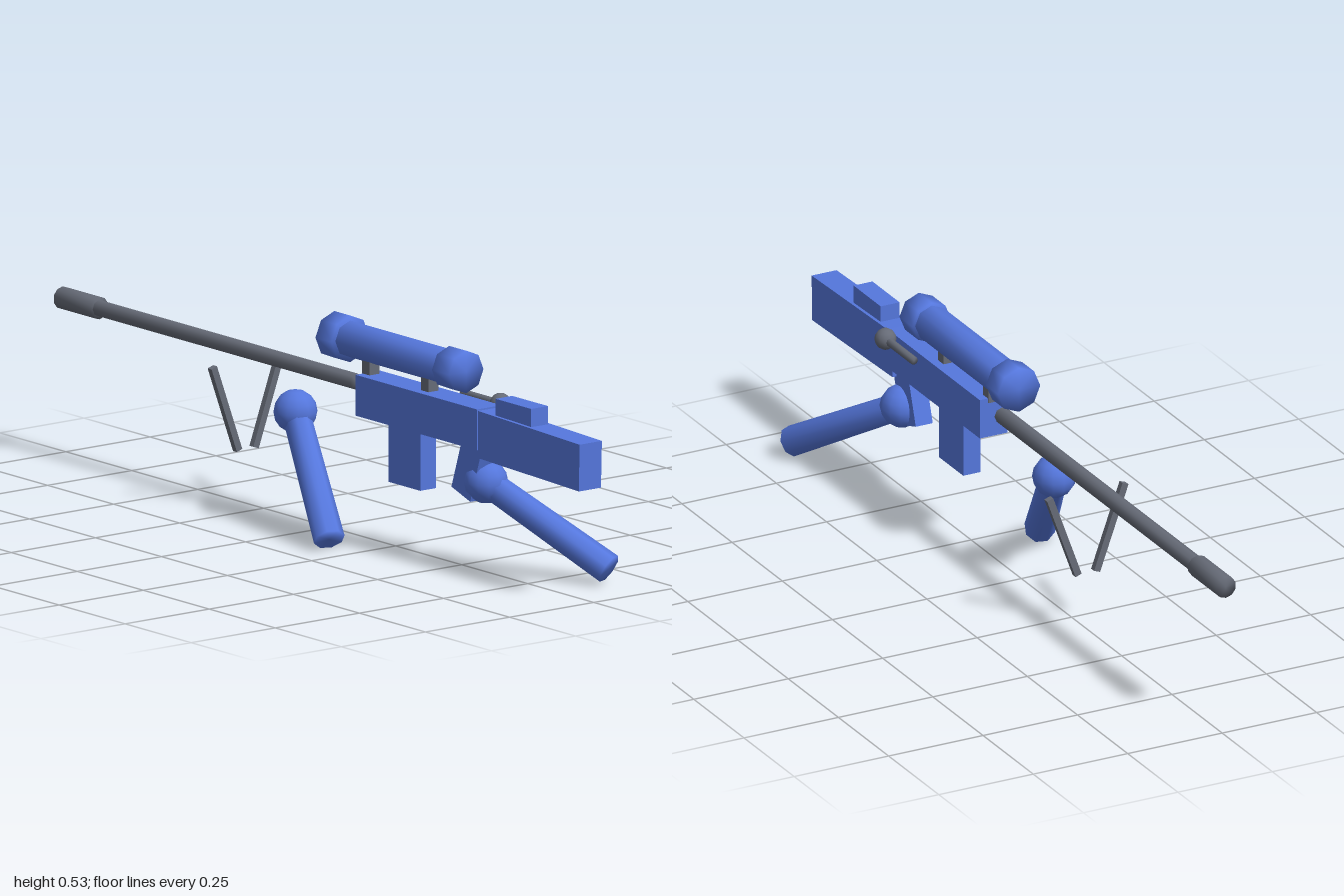
import * as THREE from 'three';
import { mergeVertices } from 'three/addons/utils/BufferGeometryUtils.js';

const blue = new THREE.MeshStandardMaterial({ color: 0x5577dd });
const steel = new THREE.MeshStandardMaterial({ color: 0x666b77 });
const CX = -0.01; // centre plane of the gun

export function createModel() {
  const model = new THREE.Group();

  function add(name, geometry, material, x, y, z) {
    const mesh = new THREE.Mesh(geometry, material);
    mesh.name = name;
    mesh.position.set(x, y, z);
    model.add(mesh);
    return mesh;
  }

  const box = (name, material, w, h, d, x, y, z) =>
    add(name, new THREE.BoxGeometry(w, h, d), material, x, y, z);

  const ball = (name, material, r, x, y, z) =>
    add(name, new THREE.SphereGeometry(r, 12, 8), material, x, y, z);

  // Cylinder with its normals smoothed over the rims
  function roundBar(r1, r2, length, sides) {
    const g = new THREE.CylinderGeometry(r2, r1, length, sides);
    g.deleteAttribute('uv');
    g.deleteAttribute('normal');
    const merged = mergeVertices(g);
    merged.computeVertexNormals();
    return merged;
  }

  // Cylinder lying along z between two depths
  function barrelPart(name, material, r, z1, z2, x, y, sides = 8) {
    const mesh = add(name, roundBar(r, r, Math.abs(z2 - z1), sides), material, x, y, (z1 + z2) / 2);
    mesh.rotation.x = Math.PI / 2;
  }

  // Ball hand with a forearm running from it to the elbow
  function arm(side, hand, elbow) {
    const a = new THREE.Vector3(...hand);
    const b = new THREE.Vector3(...elbow);
    ball(side + 'Hand', blue, 0.052, ...hand);
    const mid = a.clone().add(b).multiplyScalar(0.5);
    const mesh = add(side + 'Forearm', roundBar(0.033, 0.037, a.distanceTo(b), 8), blue, ...mid.toArray());
    mesh.quaternion.setFromUnitVectors(new THREE.Vector3(0, 1, 0), b.sub(a).normalize());
  }

  // Body
  box('receiver', blue, 0.073, 0.098, 0.46, CX, 0.357, 0.387);
  box('stock', blue, 0.066, 0.113, 0.4, CX, 0.34, 0.8).rotation.x = 0.03;
  box('cheekRest', blue, 0.05, 0.05, 0.135, CX, 0.415, 0.74);
  box('magazine', blue, 0.046, 0.15, 0.12, CX, 0.242, 0.325);
  box('grip', blue, 0.045, 0.14, 0.075, CX, 0.253, 0.56).rotation.x = 0.32;

  // Barrel
  barrelPart('barrel', steel, 0.02, 0.115, -0.95, CX, 0.377);
  barrelPart('muzzle', steel, 0.027, -0.86, -1, CX, 0.377, 10);

  // Scope
  barrelPart('scopeTube', blue, 0.044, 0.06, 0.5, CX, 0.475);
  barrelPart('scopeFrontBell', blue, 0.056, 0.03, 0.09, CX, 0.475);
  barrelPart('scopeRearBell', blue, 0.051, 0.465, 0.53, CX, 0.475);
  for (const z of [0.168, 0.392]) box('scopeMount', steel, 0.03, 0.05, 0.028, CX, 0.42, z);

  // Bolt
  barrelPart('boltHandle', steel, 0.01, 0.44, 0.585, 0.05, 0.4);
  ball('boltKnob', steel, 0.026, 0.05, 0.4, 0.583);

  // Bipod
  for (const s of [-1, 1]) {
    box('bipodLeg', steel, 0.017, 0.222, 0.015, CX + s * 0.062, 0.245, -0.305).rotation.z = -s * 0.346;
  }

  // Arms
  arm('left', [0.007, 0.22, 0.583], [0.145, 0.043, 0.873]);
  arm('right', [-0.055, 0.281, -0.06], [-0.148, 0.031, 0.187]);

  return model;
}
